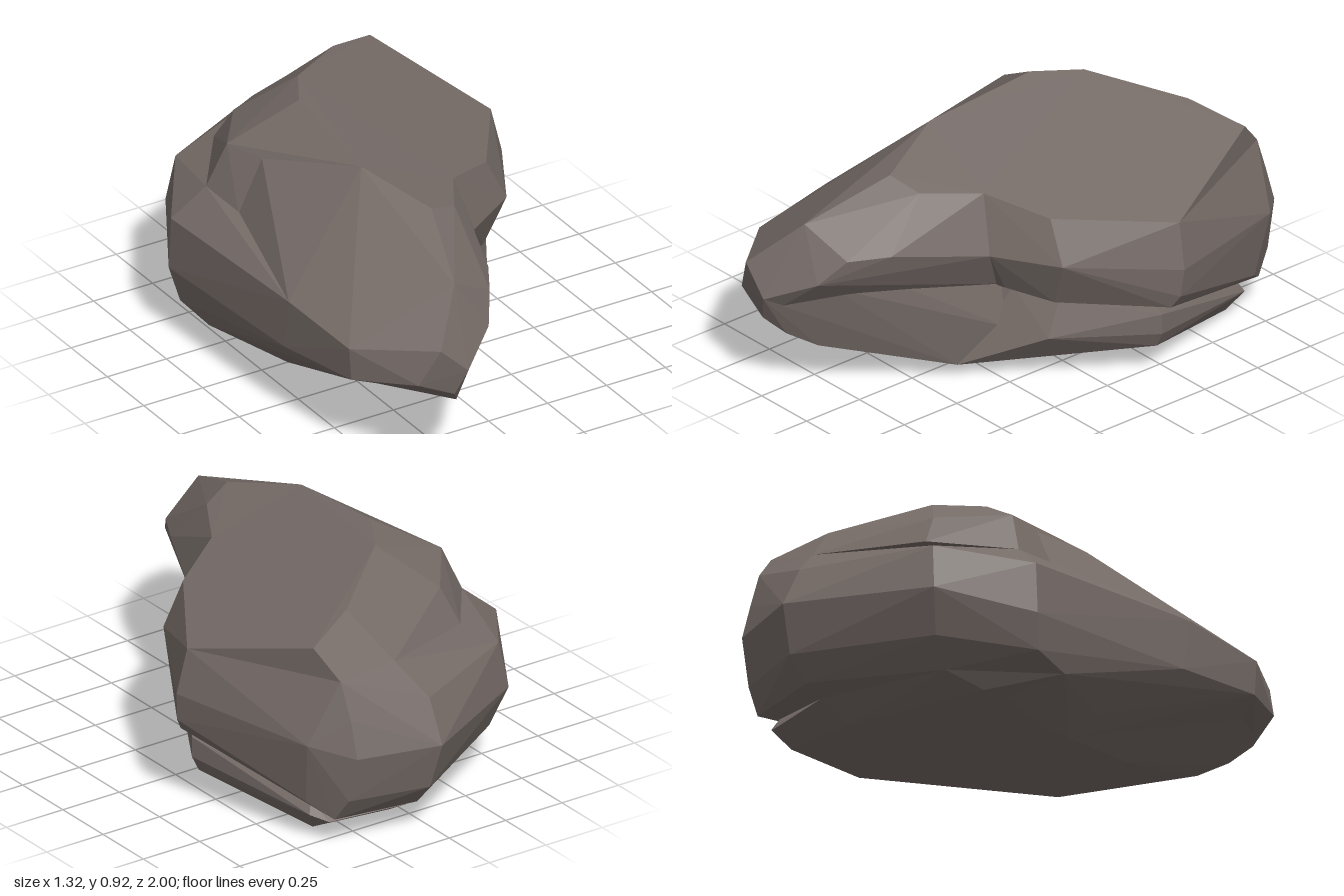
import * as THREE from 'three';
import { ConvexGeometry } from 'three/addons/geometries/ConvexGeometry.js';

// A faceted boulder: overlapping chiselled blocks, each given by its corners.
const stone = new THREE.MeshStandardMaterial({ color: 0x746a66 });
stone.name = 'warm grey stone';

function block(name, corners) {
  const geometry = new ConvexGeometry(corners.map((c) => new THREE.Vector3(...c)));
  const mesh = new THREE.Mesh(geometry, stone);
  mesh.name = name;
  return mesh;
}

// Sloping flat top and the shoulders just below it
const crown = [
  [-0.2, 0.92, -0.23], [-0.1, 0.91, -0.4], [0.2, 0.83, -0.64], [0.41, 0.77, -0.73],
  [0.62, 0.635, -0.24], [0.36, 0.68, 0.15], [0.14, 0.74, 0.28], [-0.22, 0.87, 0.23],
  [-0.45, 0.77, -0.32], [-0.28, 0.75, -0.55], [-0.4, 0.77, -0.16], [-0.5, 0.57, -0.16],
  [-0.52, 0.6, -0.35], [-0.32, 0.62, -0.62], [0.1, 0.66, -0.8], [0.36, 0.66, -0.83],
  [0.44, 0.515, 0.16], [0.21, 0.52, 0.31],
];

// Broad rear mass, down to the overhang on the +x side
const body = [
  [-0.52, 0.6, -0.35], [0.1, 0.66, -0.8], [0.36, 0.66, -0.83], [0.62, 0.635, -0.24],
  [0.03, 0.54, -0.92], [0.35, 0.52, -0.88], [-0.44, 0.54, -0.69], [-0.65, 0.49, -0.38],
  [0.03, 0.38, -1], [0.35, 0.38, -0.92], [0.48, 0.42, -0.79], [0.66, 0.46, -0.23],
  [0.44, 0.515, 0.16], [0.21, 0.52, 0.31], [-0.62, 0.5, 0.38], [-0.62, 0.3, 0.35],
  [-0.47, 0.36, -0.71], [-0.66, 0.29, -0.38],
  [0.65, 0.35, -0.22], [0.62, 0.3, -0.2], [0.36, 0.33, 0.13], [0.2, 0.36, 0.23],
  [0.45, 0.17, -0.74], [0.36, 0.2, -0.88], [0.38, 0.11, -0.82], [0.05, 0.2, -0.95],
  [0.05, 0.11, -0.87], [-0.42, 0.2, -0.66], [-0.38, 0.1, -0.58],
  [-0.63, 0.16, -0.35], [-0.6, 0.12, -0.2],
];

// Long tapering front end, down to a shallow groove on the +x side
const nose = [
  [-0.22, 0.87, 0.23], [-0.1, 0.8, 0.52], [0.02, 0.76, 0.48], [0.14, 0.74, 0.28],
  [-0.2, 0.72, 0.68], [-0.2, 0.67, 0.84], [-0.02, 0.57, 0.79], [0.06, 0.575, 0.65],
  [-0.08, 0.48, 0.88], [-0.24, 0.4, 1], [-0.35, 0.505, 0.99], [-0.42, 0.365, 0.95],
  [-0.58, 0.46, 0.73], [-0.57, 0.33, 0.73], [-0.62, 0.5, 0.38], [-0.62, 0.3, 0.35],
  [-0.4, 0.77, -0.16], [-0.5, 0.57, -0.16], [0.21, 0.52, 0.31], [-0.28, 0.3, 0.97],
  [-0.1, 0.43, 0.79], [0.02, 0.4, 0.55], [0.17, 0.36, 0.22], [-0.4, 0.4, -0.2],
];

// Jaw below the groove
const jaw = [
  [-0.24, 0.4, 1], [-0.1, 0.43, 0.79], [0.02, 0.4, 0.55], [0.17, 0.36, 0.22],
  [0.2, 0.2, 0.23], [0.1, 0.05, 0.37], [-0.17, 0.17, 0.8], [-0.23, 0.23, 0.9],
  [-0.28, 0.3, 0.97], [-0.42, 0.365, 0.95], [-0.27, 0.06, 0.37], [-0.39, 0, 0],
  [-0.42, 0.2, 0.45], [-0.3, 0.4, 0.8], [-0.3, 0.4, 0],
];

// Undercut rising toward the -x side of the front end
const undercut = [
  [-0.6, 0.12, -0.2], [-0.48, 0.08, 0.05], [-0.39, 0, 0], [-0.42, 0.19, 0.45],
  [-0.62, 0.3, 0.35], [-0.57, 0.33, 0.73], [-0.42, 0.365, 0.95],
  [-0.3, 0.4, 0.8], [-0.3, 0.4, 0], [-0.55, 0.4, 0],
];

// Lower ledge that the boulder rests on, hollowed where its two halves meet
const seam = [
  [0.57, 0.25, -0.2], [0.57, 0.17, -0.2], [0.54, 0.11, -0.2], [0.45, 0.08, -0.3],
  [-0.4, 0.07, -0.3], [-0.6, 0.12, -0.2], [0.2, 0.34, -0.3],
];
const frontLedge = [
  ...seam,
  [0.36, 0.19, 0.16], [0.2, 0.2, 0.24], [0.2, 0.35, 0.19], [0.35, 0.33, 0.1],
  [0.1, 0.05, 0.37], [-0.27, 0.06, 0.37], [-0.39, 0, 0], [-0.39, 0.01, -0.12],
  [-0.48, 0.08, 0.05], [-0.3, 0.3, 0],
];
const rearLedge = [
  ...seam,
  [0.37, 0.02, -0.67], [0.04, 0, -0.68], [0.42, 0.1, -0.72], [0.4, 0.14, -0.7],
  [0.36, 0.07, -0.76], [0.05, 0.07, -0.8], [-0.38, 0.1, -0.58], [-0.42, 0.05, -0.43],
];

export function createModel() {
  const boulder = new THREE.Group();
  boulder.name = 'boulder';
  const blocks = { crown, body, nose, jaw, undercut, frontLedge, rearLedge };
  for (const [name, corners] of Object.entries(blocks)) boulder.add(block(name, corners));
  return boulder;
}
